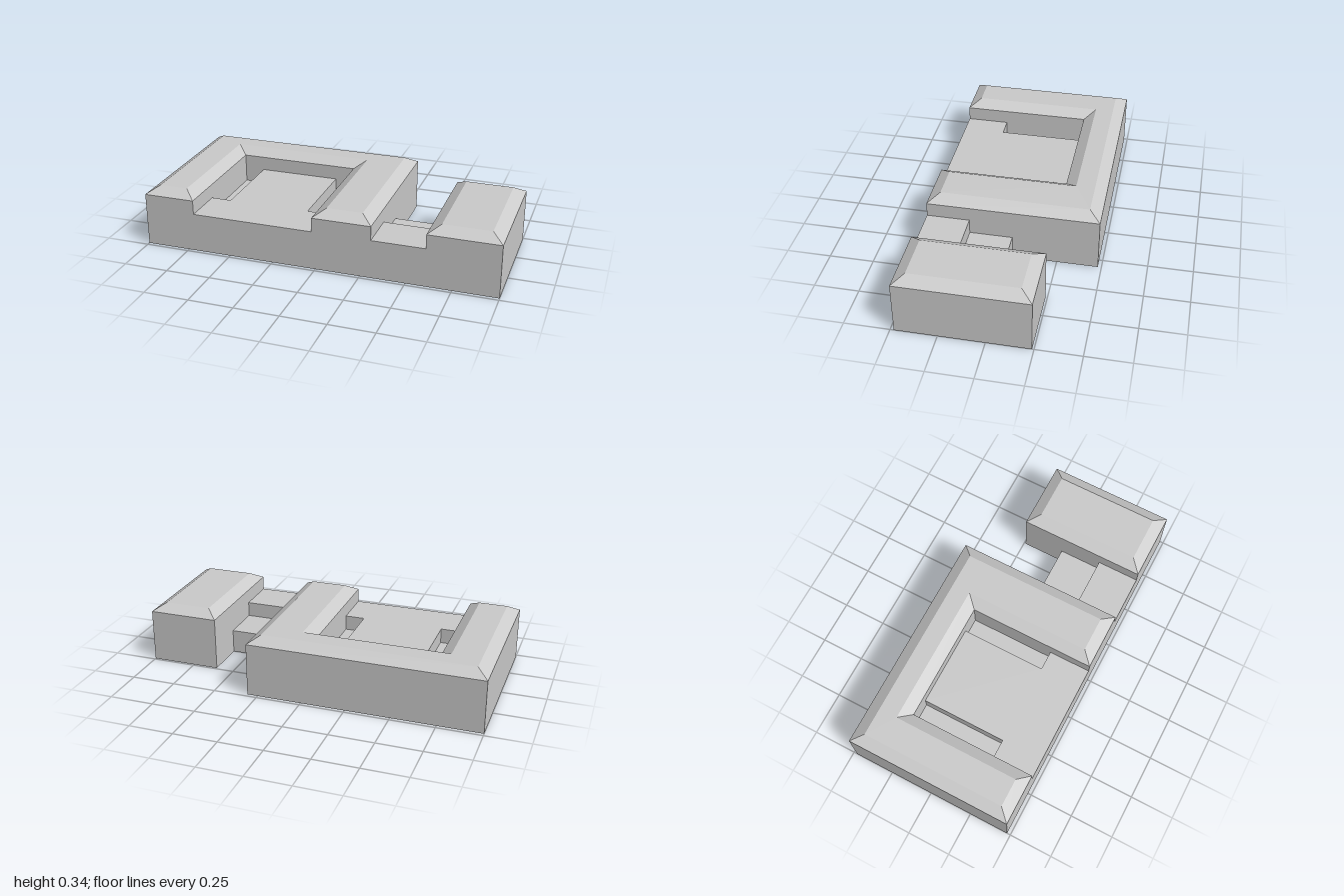
import * as THREE from 'three';

const WALL = 0.3, RIDGE = 0.34, INSET = 0.065, DECK = 0.22, PIT = 0.135;
const FRONT = 0.48;
const material = new THREE.MeshStandardMaterial({ color: 0xcccccc, flatShading: true });

// Shift every edge of a right-angled outline inwards by d.
function insetOutline(points, d) {
  const n = points.length;
  const inward = (a, b) => new THREE.Vector2(a.y - b.y, b.x - a.x).normalize().multiplyScalar(d);
  return points.map((p, i) => p.clone()
    .add(inward(points[(i + n - 1) % n], p))
    .add(inward(p, points[(i + 1) % n])));
}

// Solid standing on the ground from an [x, z] outline, anticlockwise from above;
// with a ridge height the top edge is chamfered all round.
function solid(name, outline, height, ridge) {
  const base = outline.map(([x, z]) => new THREE.Vector2(x, -z));
  const rings = [{ pts: base, y: 0 }, { pts: base, y: height }];
  if (ridge) rings.push({ pts: insetOutline(base, INSET), y: ridge });

  const positions = [];
  const put = (ring, i) => positions.push(ring.pts[i].x, ring.y, -ring.pts[i].y);
  for (let r = 0; r < rings.length - 1; r++) {
    const low = rings[r], high = rings[r + 1];
    for (let i = 0; i < base.length; i++) {
      const j = (i + 1) % base.length;
      put(low, i); put(low, j); put(high, j);
      put(low, i); put(high, j); put(high, i);
    }
  }
  // Top and bottom caps
  const top = rings[rings.length - 1];
  for (const [a, b, c] of THREE.ShapeUtils.triangulateShape(top.pts, [])) {
    put(top, a); put(top, b); put(top, c);
    put(rings[0], c); put(rings[0], b); put(rings[0], a);
  }

  const geometry = new THREE.BufferGeometry();
  geometry.setAttribute('position', new THREE.Float32BufferAttribute(positions, 3));
  geometry.computeVertexNormals();
  const mesh = new THREE.Mesh(geometry, material);
  mesh.name = name;
  return mesh;
}

const rect = (x0, x1, z0, z1) => [[x0, z1], [x1, z1], [x1, z0], [x0, z0]];

export function createModel() {
  const model = new THREE.Group();
  model.name = 'courtyardBuilding';

  // U-shaped main wing around the court, open to the front
  const courtL = -0.71, courtR = -0.02, courtBack = -0.245, mainR = 0.31;
  model.add(solid('mainWing', [
    [-1, FRONT], [courtL, FRONT], [courtL, courtBack], [courtR, courtBack],
    [courtR, FRONT], [mainR, FRONT], [mainR, -0.48], [-1, -0.48],
  ], WALL, RIDGE));

  // Separate side wing
  const sideL = 0.605;
  model.add(solid('sideWing', rect(sideL, 1, -0.24, FRONT), WALL, RIDGE));

  // T-shaped court deck with a sunken strip along each side
  const stepZ = 0.24, deckL = -0.595, deckR = -0.13;
  model.add(solid('courtDeck', [
    [courtL, FRONT], [courtR, FRONT], [courtR, stepZ], [deckR, stepZ],
    [deckR, courtBack], [deckL, courtBack], [deckL, stepZ], [courtL, stepZ],
  ], DECK));
  model.add(solid('leftPitFloor', rect(courtL, deckL, courtBack, stepZ), PIT));
  model.add(solid('rightPitFloor', rect(deckR, courtR, courtBack, stepZ), PIT));

  // Stepped link between the two wings
  model.add(solid('linkDeck', rect(mainR, sideL, stepZ, FRONT), DECK));
  model.add(solid('linkStep', rect(mainR, sideL, 0, stepZ), PIT));

  return model;
}
